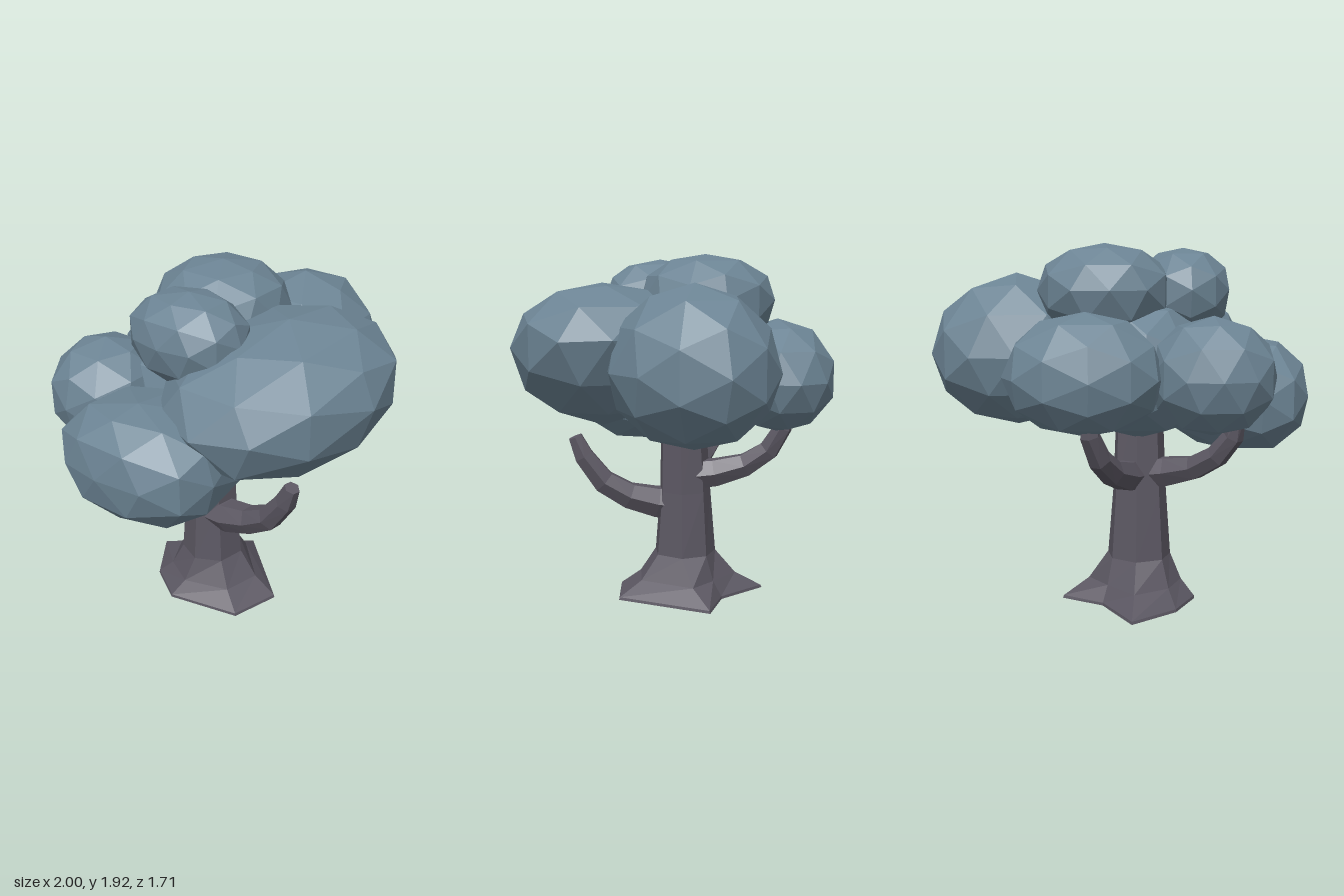
import * as THREE from 'three';

const leafMat = new THREE.MeshStandardMaterial({ color: 0x6c8494, flatShading: true });
const barkMat = new THREE.MeshStandardMaterial({ color: 0x5c5863, flatShading: true });

// Skin a list of equally sized rings (counter-clockwise around the growth direction), with capped ends
function loft(rings) {
  const n = rings[0].length;
  const pos = [];
  const tri = (...pts) => pts.forEach(p => pos.push(p.x, p.y, p.z));
  for (let i = 0; i < rings.length - 1; i++) {
    const a = rings[i], b = rings[i + 1];
    for (let j = 0; j < n; j++) {
      const k = (j + 1) % n;
      tri(a[j], a[k], b[k]);
      tri(a[j], b[k], b[j]);
    }
  }
  const centre = ring => ring.reduce((s, p) => s.add(p), new THREE.Vector3()).divideScalar(n);
  const first = rings[0], last = rings[rings.length - 1];
  const c0 = centre(first), c1 = centre(last);
  for (let j = 0; j < n; j++) {
    const k = (j + 1) % n;
    tri(c0, first[k], first[j]);
    tri(c1, last[j], last[k]);
  }
  const geo = new THREE.BufferGeometry();
  geo.setAttribute('position', new THREE.Float32BufferAttribute(pos, 3));
  geo.computeVertexNormals();
  return geo;
}

// Trunk: irregular root flare blending into a tapering seven-sided column
function trunkGeometry() {
  const roots = [[-0.05, 0.28], [0.31, -0.14], [0.1, -0.28], [-0.03, -0.575],
    [-0.28, -0.41], [-0.41, -0.2], [-0.32, 0.2]];
  const ring = (y, r, cx, cz, flare) => roots.map(([x, z], j) => {
    const a = (-75 + j * 360 / 7) * Math.PI / 180;
    return new THREE.Vector3(
      THREE.MathUtils.lerp(cx + r * Math.cos(a), x, flare), y,
      THREE.MathUtils.lerp(cz - r * Math.sin(a), z, flare));
  });
  return loft([
    ring(0, 0.17, -0.11, -0.125, 1),
    ring(0.015, 0.17, -0.11, -0.125, 0.98),
    ring(0.1, 0.18, -0.11, -0.125, 0.42),
    ring(0.24, 0.17, -0.11, -0.125, 0.03),
    ring(0.6, 0.148, -0.11, -0.125, 0),
    ring(1.15, 0.125, -0.11, -0.11, 0),
  ]);
}

// Branch: six-sided tapering limb; each point is [x, y, z, radius]
function branchGeometry(points) {
  const pts = points.map(p => new THREE.Vector3(p[0], p[1], p[2]));
  const up = new THREE.Vector3(0, 1, 0);
  return loft(pts.map((p, i) => {
    const t = pts[Math.min(i + 1, pts.length - 1)].clone().sub(pts[Math.max(i - 1, 0)]).normalize();
    const u = up.clone().cross(t).normalize();
    const v = t.clone().cross(u);
    return Array.from({ length: 6 }, (_, j) => {
      const a = j * Math.PI / 3, r = points[i][3];
      return p.clone().addScaledVector(u, r * Math.cos(a)).addScaledVector(v, r * Math.sin(a));
    });
  }));
}

// Foliage clump: icosphere whose six half-axes run from its heart to the box min..max.
// fullness 2 is an ellipsoid, more is boxier; tilt and sweep skew y and z along x.
function clumpGeometry({ heart, min, max, fullness = 2, tilt = 0, sweep = 0, turn = 0 }) {
  const geo = new THREE.IcosahedronGeometry(1, 1);
  geo.rotateY(turn * Math.PI / 2);
  const pos = geo.attributes.position;
  for (let i = 0; i < pos.count; i++) {
    const c = [pos.getX(i), pos.getY(i), pos.getZ(i)];
    const norm = c.reduce((s, v) => s + Math.abs(v) ** fullness, 0) ** (1 / fullness);
    const [x, y, z] = c.map((v, k) => {
      const half = v > 0 ? max[k] - heart[k] : heart[k] - min[k];
      return heart[k] + v / norm * half;
    });
    pos.setXYZ(i, x, y + tilt * c[0], z + sweep * c[0]);
  }
  geo.computeVertexNormals();
  return geo;
}

export function createModel() {
  const tree = new THREE.Group();
  tree.name = 'tree';
  const add = (name, geo, mat) => {
    const mesh = new THREE.Mesh(geo, mat);
    mesh.name = name;
    tree.add(mesh);
  };

  add('trunk', trunkGeometry(), barkMat);

  const branches = {
    frontBranch: [[-0.14, 0.52, -0.1, 0.1], [-0.155, 0.53, 0.03, 0.095], [-0.165, 0.575, 0.19, 0.08],
      [-0.185, 0.66, 0.33, 0.072], [-0.2, 0.81, 0.44, 0.06], [-0.21, 0.92, 0.485, 0.042]],
    rightBranch: [[-0.12, 0.69, -0.12, 0.09], [-0.26, 0.72, -0.22, 0.085], [-0.38, 0.76, -0.33, 0.068],
      [-0.48, 0.84, -0.43, 0.062], [-0.55, 0.95, -0.49, 0.055], [-0.57, 1.08, -0.52, 0.04]],
    backBranch: [[-0.09, 0.69, -0.12, 0.09], [-0.02, 0.71, -0.28, 0.085], [0.06, 0.76, -0.43, 0.07],
      [0.13, 0.85, -0.54, 0.062], [0.18, 0.98, -0.6, 0.052], [0.19, 1.12, -0.61, 0.035]],
  };
  for (const [name, points] of Object.entries(branches)) add(name, branchGeometry(points), barkMat);

  // Crown of overlapping clumps
  const clumps = {
    frontFoliage: { heart: [-0.08, 1.43, 0.35], min: [-0.76, 1.0, -0.2], max: [0.5, 1.77, 0.85],
      tilt: 0.065, sweep: 0.08 },
    leftFoliage: { heart: [0.54, 1.34, 0.03], min: [0.03, 0.95, -0.38], max: [1.0, 1.77, 0.46],
      sweep: -0.03, turn: 1 },
    rightFoliage: { heart: [-0.7, 1.13, -0.09], min: [-1.0, 0.82, -0.51], max: [-0.22, 1.43, 0.37],
      fullness: 2.5, sweep: 0.03 },
    backRightFoliage: { heart: [-0.43, 1.26, -0.56], min: [-0.75, 0.97, -0.86], max: [-0.11, 1.56, -0.24],
      fullness: 2.1, turn: 1 },
    backLeftFoliage: { heart: [0.2, 1.26, -0.55], min: [-0.19, 0.97, -0.86], max: [0.61, 1.58, -0.26],
      fullness: 2.1, sweep: 0.04 },
    centreFoliage: { heart: [-0.1, 1.27, -0.2], min: [-0.5, 0.9, -0.62], max: [0.3, 1.65, 0.2] },
    topLeftFoliage: { heart: [0.08, 1.68, -0.18], min: [-0.27, 1.4, -0.55], max: [0.43, 1.92, 0.17],
      fullness: 2.2, turn: 1 },
    topRightFoliage: { heart: [-0.35, 1.68, -0.05], min: [-0.6, 1.42, -0.38], max: [-0.1, 1.9, 0.27],
      fullness: 2.2 },
  };
  for (const [name, spec] of Object.entries(clumps)) add(name, clumpGeometry(spec), leafMat);

  return tree;
}
